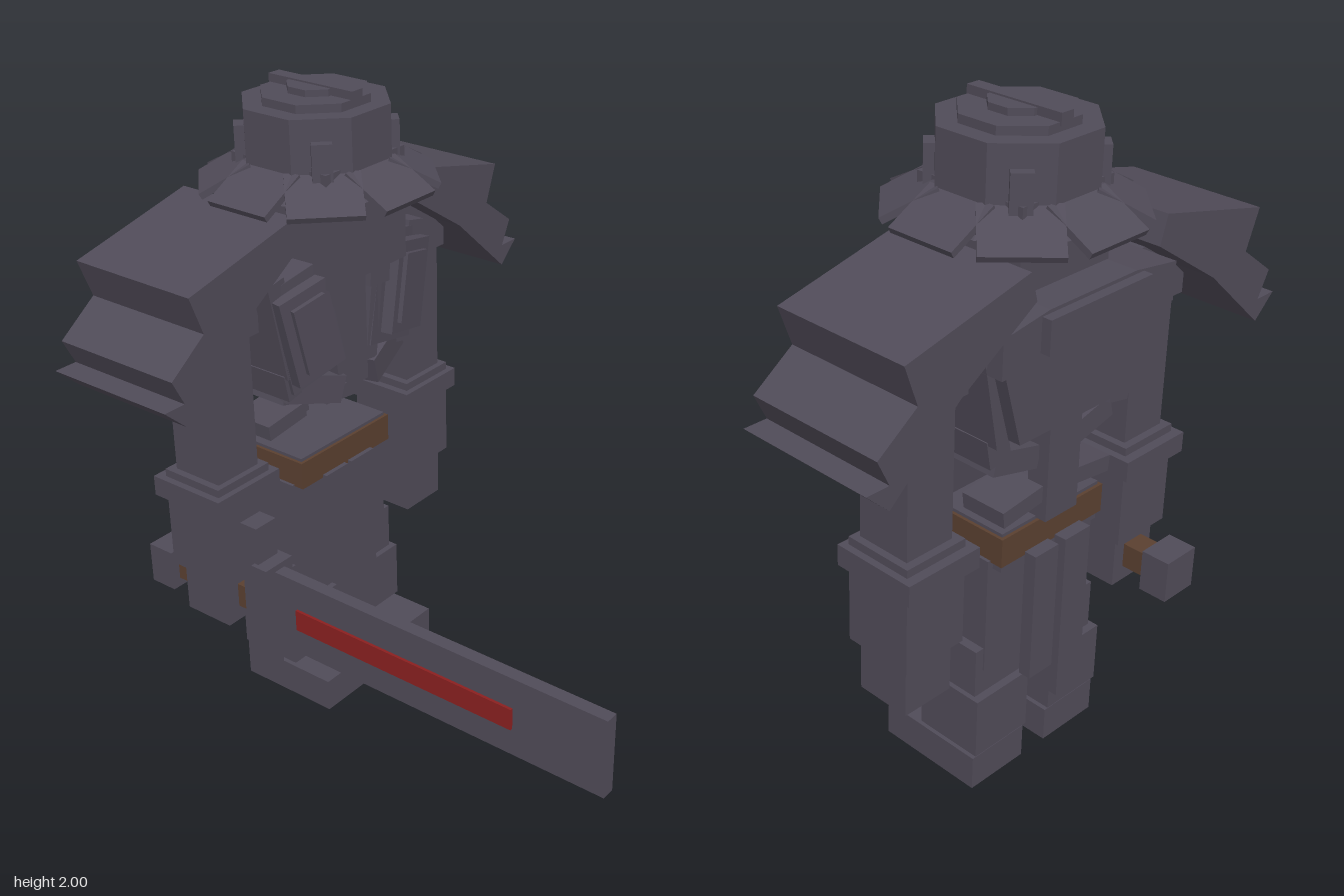
import * as THREE from 'three';

const mat = (name, color) => {
  const m = new THREE.MeshStandardMaterial({ color });
  m.name = name;
  m.flatShading = true;
  return m;
};

export function createModel() {
  const root = new THREE.Group();
  root.name = 'armouredSwordsman';
  const iron = mat('darkIron', 0x504b58);
  const leather = mat('brownLeather', 0x5a4030);
  const red = mat('bladeRed', 0x8a2020);
  const cyan = mat('eyeCyan', 0x4cc8d0);

  const add = (name, geo, m = iron, parent = root) => {
    const mesh = new THREE.Mesh(geo, m);
    mesh.name = name;
    parent.add(mesh);
    return mesh;
  };
  // Box given by its limits on each axis
  const box = (name, x0, x1, y0, y1, z0, z1, m = iron) => {
    const mesh = add(name, new THREE.BoxGeometry(x1 - x0, y1 - y0, z1 - z0), m);
    mesh.position.set((x0 + x1) / 2, (y0 + y1) / 2, (z0 + z1) / 2);
    return mesh;
  };
  // The same box on both sides of the body
  const pair = (name, x0, x1, ...rest) => {
    box(name + 'Left', x0, x1, ...rest);
    box(name + 'Right', -x1, -x0, ...rest);
  };
  // Tilted box on both sides; angles are for the left side
  const tilted = (name, size, pos, rot) => {
    for (const s of [1, -1]) {
      const mesh = add(name + (s > 0 ? 'Left' : 'Right'), new THREE.BoxGeometry(...size));
      mesh.position.set(s * pos[0], pos[1], pos[2]);
      mesh.rotation.set(rot[0], s * rot[1], s * rot[2]);
    }
  };
  // Outline in x and y, extruded between two depths
  const slab = (name, points, z0, z1) => {
    const shape = new THREE.Shape(points.map(p => new THREE.Vector2(...p)));
    const mesh = add(name, new THREE.ExtrudeGeometry(shape, { depth: z1 - z0, bevelEnabled: false }));
    mesh.position.z = z0;
    return mesh;
  };

  // Legs
  pair('foot', 0.05, 0.265, 0, 0.11, -0.67, -0.32);
  pair('ankle', 0.07, 0.245, 0.1, 0.13, -0.65, -0.48);
  pair('shin', 0.05, 0.265, 0.125, 0.32, -0.68, -0.46);
  pair('knee', 0.05, 0.25, 0.32, 0.475, -0.655, -0.48);
  pair('thigh', 0.01, 0.22, 0.4, 0.77, -0.66, -0.475);

  // Hips, belt and hanging cloth
  box('hips', -0.2, 0.2, 0.74, 0.865, -0.69, -0.45);
  box('belt', -0.21, 0.21, 0.765, 0.855, -0.7, -0.44, leather);
  box('frontClothRight', -0.115, -0.012, 0.375, 0.775, -0.465, -0.425);
  box('frontClothLeft', 0.005, 0.115, 0.25, 0.775, -0.465, -0.425);
  box('backClothRight', -0.115, -0.01, 0.23, 0.775, -0.74, -0.7);
  box('backClothLeft', 0.02, 0.115, 0.36, 0.775, -0.74, -0.7);

  // Spine and ribs
  box('spine', -0.065, 0.065, 0.86, 1.25, -0.725, -0.655);
  tilted('lowerRib', [0.17, 0.05, 0.15], [0.135, 0.935, -0.635], [0, 0, -0.12]);
  tilted('middleRib', [0.18, 0.07, 0.22], [0.15, 1.075, -0.58], [0, 0, 0.25]);
  tilted('upperRib', [0.2, 0.09, 0.09], [0.16, 1.11, -0.44], [0, 0.25, 0.28]);
  tilted('ribCap', [0.08, 0.09, 0.3], [0.25, 1.16, -0.56], [0, 0, -0.2]);

  // Torso: tapered back, flanks, collar and chest plates
  slab('backPlate', [[-0.34, 1.5], [-0.25, 1.2], [0.25, 1.2], [0.34, 1.5]], -0.78, -0.62);
  slab('collar', [[-0.34, 1.42], [0.34, 1.42], [0.34, 1.535], [0.17, 1.56], [-0.17, 1.56], [-0.34, 1.535]], -0.79, -0.47);
  box('upperBack', -0.2, 0.2, 1.45, 1.55, -0.82, -0.76);
  tilted('flank', [0.07, 0.32, 0.34], [0.29, 1.35, -0.57], [0, 0, -0.2]);
  tilted('chestBase', [0.22, 0.36, 0.08], [0.2, 1.33, -0.43], [0, 0.1, -0.22]);
  tilted('chestPlate', [0.18, 0.29, 0.04], [0.225, 1.33, -0.37], [0, 0.15, -0.22]);
  tilted('chestInset', [0.12, 0.22, 0.03], [0.225, 1.33, -0.35], [0, 0.15, -0.22]);
  tilted('innerRib', [0.05, 0.28, 0.06], [0.085, 1.27, -0.41], [0, 0, -0.14]);
  tilted('collarBone', [0.09, 0.07, 0.07], [0.1, 1.41, -0.4], [0, 0, -0.1]);
  box('sternum', -0.035, 0.035, 1.08, 1.46, -0.43, -0.37);

  // Arms
  pair('shoulder', 0.335, 0.545, 1.34, 1.535, -0.675, -0.465);
  pair('upperArm', 0.36, 0.527, 0.9, 1.36, -0.655, -0.48);
  pair('cuff', 0.31, 0.572, 0.82, 0.885, -0.71, -0.44);
  pair('forearm', 0.335, 0.55, 0.577, 0.91, -0.68, -0.46);
  pair('hand', 0.355, 0.527, 0.41, 0.6, -0.655, -0.48);

  // Three-stepped shoulder guards
  const guard = [[0.265, 1.695], [0.69, 1.595], [0.645, 1.475], [0.775, 1.38],
    [0.735, 1.3], [0.81, 1.3], [0.735, 1.23], [0.5, 1.44], [0.24, 1.61]];
  slab('shoulderGuardLeft', guard, -0.805, -0.365);
  slab('shoulderGuardRight', guard.map(([x, y]) => [-x, y]), -0.805, -0.365);

  // Head and eyes
  box('head', -0.175, 0.175, 1.45, 1.8, -0.69, -0.325);
  pair('eye', 0.045, 0.13, 1.655, 1.695, -0.326, -0.317, cyan);

  // Hat: octagonal crown, layered top, sloped brim panels
  const hat = new THREE.Group();
  hat.name = 'hat';
  hat.position.z = -0.51;
  root.add(hat);
  const octagon = (name, r0, r1, y0, y1) => {
    const k = 1 / Math.cos(Math.PI / 8);
    const geo = new THREE.CylinderGeometry(r1 * k, r0 * k, y1 - y0, 8);
    geo.rotateY(Math.PI / 8);
    add(name, geo, iron, hat).position.y = (y0 + y1) / 2;
  };
  octagon('crown', 0.21, 0.21, 1.75, 1.95);
  octagon('crownTop', 0.155, 0.155, 1.95, 1.975);
  octagon('crownCap', 0.08, 0.08, 1.97, 1.995);
  octagon('brimBase', 0.28, 0.2, 1.725, 1.785);
  add('crest', new THREE.BoxGeometry(0.045, 0.035, 0.32), iron, hat).position.y = 1.9825;
  for (let i = 0; i < 8; i++) {
    const arm = new THREE.Group();
    arm.name = 'brimSection';
    arm.rotation.y = i * Math.PI / 4;
    hat.add(arm);
    const panel = add('brimPanel', new THREE.BoxGeometry(0.22, 0.02, 0.17), iron, arm);
    panel.position.set(0, 1.745, 0.272);
    panel.rotation.x = 0.5;
    if (i % 2) {
      const stud = add('hatStud', new THREE.BoxGeometry(0.06, 0.11, 0.04), iron, arm);
      stud.position.set(0, 1.83, 0.22);
    }
  }

  // Sword in the right hand
  box('blade', -0.462, -0.42, 0.37, 0.63, -0.345, 0.85);
  box('bladeStripe', -0.471, -0.462, 0.46, 0.53, -0.25, 0.545, red);
  box('innerGuard', -0.5, -0.385, 0.345, 0.65, -0.395, -0.335);
  box('crossGuard', -0.485, -0.4, 0.23, 0.775, -0.445, -0.38);
  box('grip', -0.48, -0.4, 0.46, 0.54, -0.75, -0.44, leather);
  box('pommel', -0.508, -0.378, 0.43, 0.565, -0.835, -0.74);

  return root;
}
